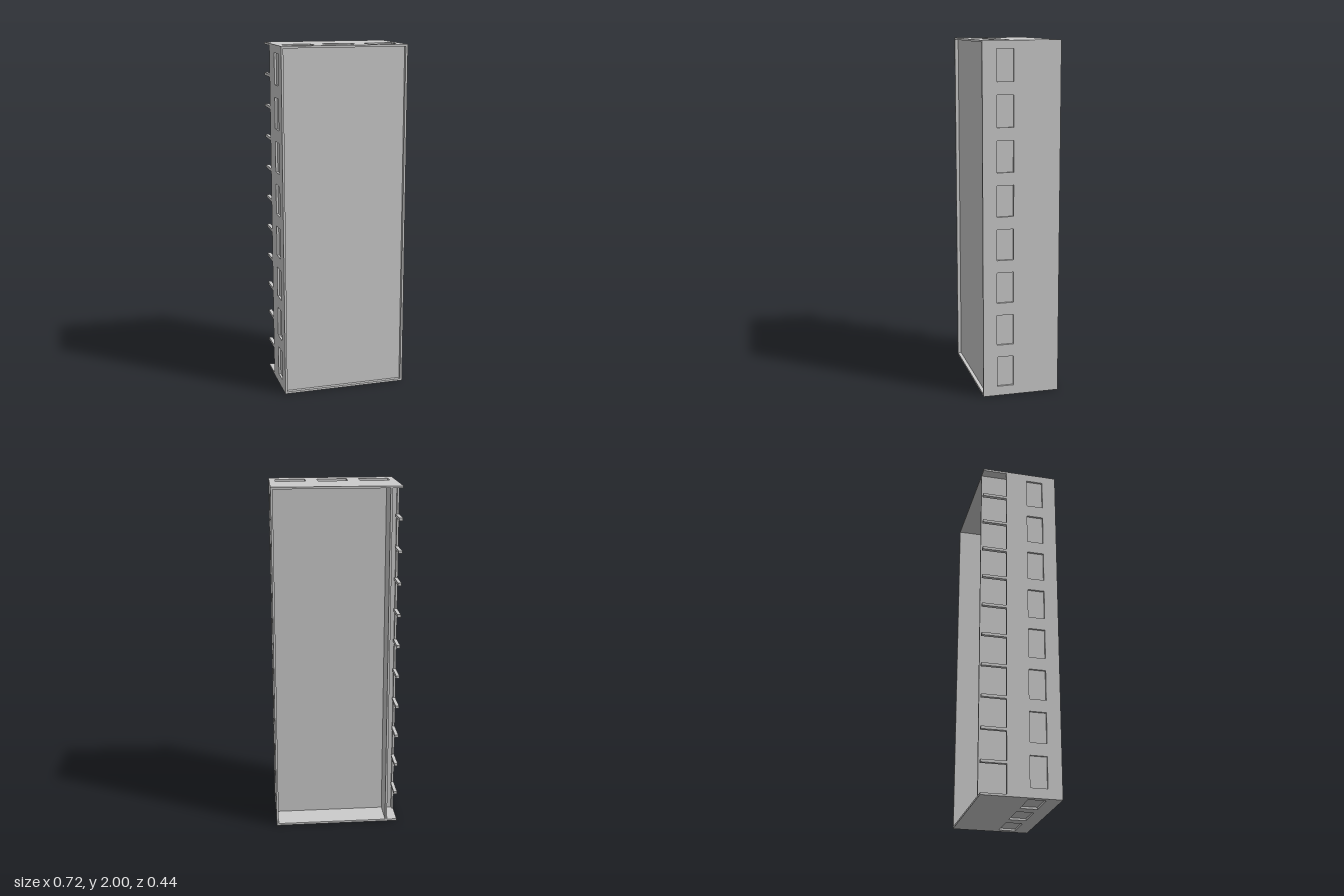
import * as THREE from 'three';

const W = 0.72, H = 2, D = 0.44, T = 0.012;   // outer size and sheet thickness
const FRONT = 0.2, BACK = -0.06;              // faces of the solid core
const PARTITION_X = -0.29, SIDE_EDGE = -0.08; // side channel limits
const material = new THREE.MeshStandardMaterial({ color: 0xcccccc, flatShading: true });

export function createModel() {
  const group = new THREE.Group();

  const add = (name, geometry) => {
    const mesh = new THREE.Mesh(geometry, material);
    mesh.name = name;
    group.add(mesh);
    return mesh;
  };

  // Box given by its lower and upper corners
  const box = (name, x0, x1, y0, y1, z0, z1) =>
    add(name, new THREE.BoxGeometry(x1 - x0, y1 - y0, z1 - z0)
      .translate((x0 + x1) / 2, (y0 + y1) / 2, (z0 + z1) / 2));

  // Sheet with rectangular holes; rectangles are [u0, u1, v0, v1]
  const corners = ([u0, u1, v0, v1]) =>
    [[u0, v0], [u1, v0], [u1, v1], [u0, v1]].map(([u, v]) => new THREE.Vector2(u, v));
  const sheet = (outer, holes) => {
    const shape = new THREE.Shape(corners(outer));
    holes.forEach(h => shape.holes.push(new THREE.Path(corners(h).reverse())));
    return new THREE.ExtrudeGeometry(shape, { depth: T, bevelEnabled: false });
  };

  // Solid core: recessed front panel and floor of the rear tray
  box('core', -W / 2 + T, W / 2 - T, T, H - T, BACK, FRONT);

  // Side sheets with eight windows each; u runs along -z, v along y
  const sideWindows = [];
  for (let i = 0; i < 8; i++) {
    const y = 0.055 + i * 0.2465;
    sideWindows.push([-0.14, -0.045, y, y + 0.175]);
  }
  const side = (name, x, rearEdge) =>
    add(name, sheet([-D / 2, -rearEdge, T, H - T], sideWindows)
      .rotateY(Math.PI / 2).translate(x, 0, 0));
  side('leftSide', W / 2 - T, -D / 2);
  side('rightSide', -W / 2, SIDE_EDGE);

  // Top and bottom sheets with three windows each; u runs along x, v along -z
  const capWindows = [-0.24, 0, 0.24].map(x => [x - 0.085, x + 0.085, -0.14, -0.042]);
  for (const [name, y] of [['topSheet', H - T], ['bottomSheet', 0]]) {
    add(name, sheet([-W / 2, W / 2, -D / 2, D / 2], capWindows)
      .rotateX(-Math.PI / 2).translate(0, y, 0));
  }

  // Partition between the rear tray and the side channel
  box('partition', PARTITION_X - T, PARTITION_X, T, H - T, -D / 2, BACK);

  // Row of fingers across the open side channel
  for (let i = 1; i <= 10; i++) {
    const y = i * H / 11;
    box('channelFinger', -W / 2, -W / 2 + 0.02, y - 0.008, y + 0.008, -D / 2, SIDE_EDGE);
  }
  return group;
}
